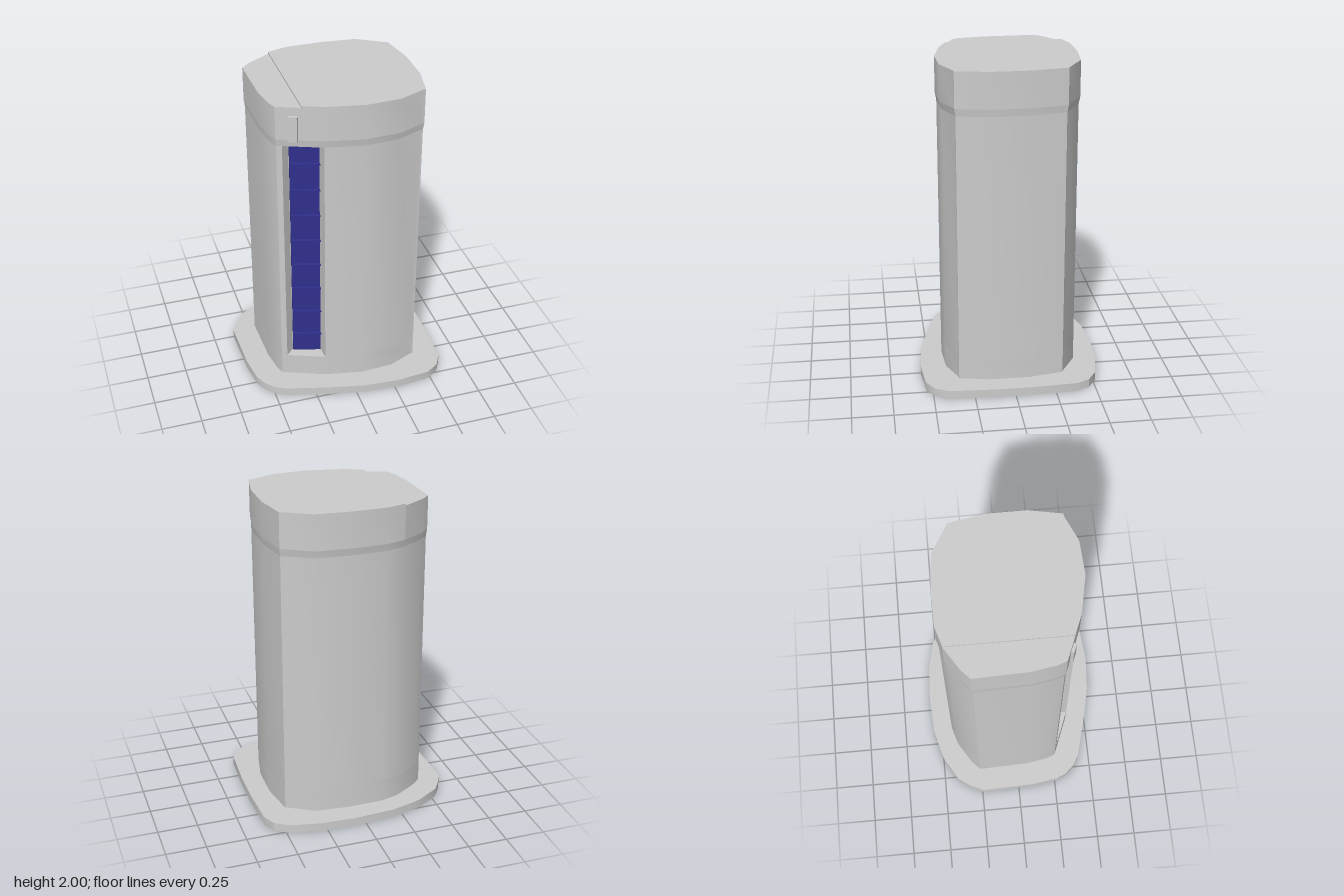
import * as THREE from 'three';
import { toCreasedNormals } from 'three/addons/utils/BufferGeometryUtils.js';

const grey = new THREE.MeshStandardMaterial({ color: 0xcccccc });
const blue = new THREE.MeshStandardMaterial({ color: 0x2f2f8c });

// Plan outlines as [x, z]; the wall runs back left -> right -> front -> left
const backWall = [[-0.28, -0.4], [-0.16, -0.435], [0.06, -0.44], [0.28, -0.42], [0.43, -0.33], [0.455, -0.32]];
const rightWall = [[0.495, -0.1], [0.495, 0.14], [0.455, 0.34], [0.435, 0.343]];
const frontWall = [[0.28, 0.41], [0.07, 0.422], [-0.16, 0.375]];
const frontSeam = [[-0.28, 0.327]];
const leftWall = [[-0.42, 0.27], [-0.44, 0.22], [-0.465, 0.07], [-0.475, -0.26], [-0.42, -0.312]];
const slot = [[-0.167, 0.285], [-0.338, 0.235], [-0.388, 0.283]];

const mainPart = [...backWall, ...rightWall, ...frontWall];
const fullPlan = [...mainPart, ...frontSeam, ...leftWall];
const slottedPlan = [...mainPart, ...slot, ...leftWall];
const basePlan = [
  [-0.62, -0.245], [-0.58, -0.33], [-0.53, -0.405], [-0.39, -0.49], [-0.335, -0.51], [-0.18, -0.55],
  [0.07, -0.565], [0.29, -0.555], [0.48, -0.515], [0.565, -0.46], [0.605, -0.38], [0.62, -0.1],
  [0.62, 0.12], [0.605, 0.41], [0.56, 0.49], [0.48, 0.54], [0.27, 0.56], [0.05, 0.545],
  [-0.18, 0.495], [-0.44, 0.425], [-0.5, 0.39], [-0.555, 0.33], [-0.585, 0.265], [-0.61, 0.1],
];

// Upright prism over a plan; the inset flags shrink its bottom or top slightly
function prism(name, plan, y0, y1, { insetBottom = false, insetTop = false, material = grey } = {}) {
  const shape = new THREE.Shape(plan.map(([x, z]) => new THREE.Vector2(x, -z)));
  const geometry = new THREE.ExtrudeGeometry(shape, { depth: y1 - y0, bevelEnabled: false });
  geometry.rotateX(-Math.PI / 2).translate(0, y0, 0);
  const p = geometry.attributes.position;
  const middle = (y0 + y1) / 2;
  for (let i = 0; i < p.count; i++) {
    if (p.getY(i) > middle ? insetTop : insetBottom) {
      p.setX(i, p.getX(i) * 0.99);
      p.setZ(i, p.getZ(i) * 0.98);
    }
  }
  const mesh = new THREE.Mesh(toCreasedNormals(geometry, 0.5), material);
  mesh.name = name;
  return mesh;
}

export function createModel() {
  const model = new THREE.Group();
  model.name = 'tower';
  const inset = { insetBottom: true, insetTop: true };

  // Base slab and shaft with a tall recess in the front
  model.add(
    prism('baseSlab', basePlan, 0, 0.055),
    prism('shaftFoot', fullPlan, 0.055, 0.2, inset),
    prism('shaft', slottedPlan, 0.2, 1.735, inset),
    prism('collar', fullPlan, 1.735, 1.78, { insetBottom: true }),
  );

  // Crown: the roof steps down a little along the left edge
  model.add(
    prism('crown', [...mainPart, ...frontSeam], 1.78, 2),
    prism('crownSide', [backWall[0], ...frontSeam, ...leftWall], 1.78, 1.988),
  );

  // Blue window strip at the back of the recess, split by thin ledges
  const strip = (name, y0, y1, out) => prism(name, [
    [-0.333, 0.2], [-0.165, 0.25], [-0.165, 0.28 + out], [-0.333, 0.232 + out],
  ], y0, y1, { material: blue });
  model.add(strip('windowStrip', 0.2, 1.737, 0.006));
  for (let i = 0; i < 8; i++) {
    const y = 0.34 + i * 0.1785;
    model.add(strip('windowLedge', y - 0.004, y + 0.004, 0.026));
  }

  // Small upright block on the front of the crown
  model.add(prism('crownBlock', [[-0.345, 0.29], [-0.295, 0.312], [-0.31, 0.336], [-0.36, 0.314]], 1.775, 1.935));
  return model;
}
